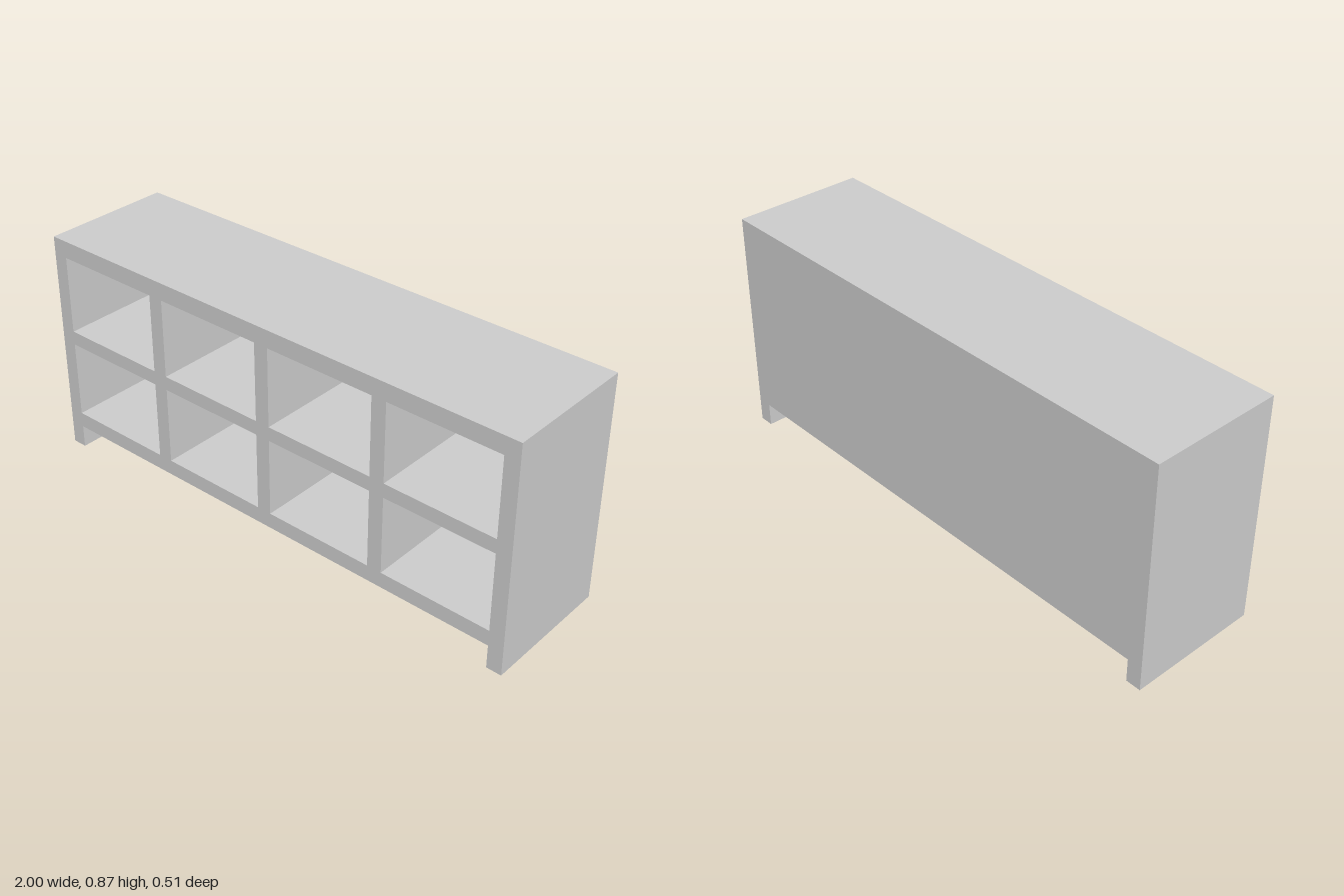
import * as THREE from 'three';

const HEIGHT = 0.87, DEPTH = 0.506, BACK = 0.033;
const BOARD = 0.057;      // thickness of sides and dividers
const BASE = 0.09;        // underside height between the feet
const COLS = 4;
const CELL_W = (2 - BOARD * (COLS + 1)) / COLS;
const CELL_H = 0.3;
const ROWS = [0.15, 0.504]; // floor of each row of cubbies

// Front outline: a box standing on two full-depth side feet
function outline() {
  const foot = 1 - BOARD;
  return new THREE.Shape([
    [-1, 0], [-foot, 0], [-foot, BASE], [foot, BASE],
    [foot, 0], [1, 0], [1, HEIGHT], [-1, HEIGHT],
  ].map(([x, y]) => new THREE.Vector2(x, y)));
}

function rectangle(x, y, w, h) {
  return new THREE.Path([
    new THREE.Vector2(x, y), new THREE.Vector2(x, y + h),
    new THREE.Vector2(x + w, y + h), new THREE.Vector2(x + w, y),
  ]);
}

export function createModel() {
  const group = new THREE.Group();
  group.name = 'cubbyBench';
  const material = new THREE.MeshStandardMaterial({ color: 0xcccccc });

  function addSlab(name, shape, depth, z) {
    const geometry = new THREE.ExtrudeGeometry(shape, { depth, bevelEnabled: false });
    const mesh = new THREE.Mesh(geometry, material);
    mesh.name = name;
    mesh.position.z = z;
    group.add(mesh);
  }

  // Carcass with two rows of open cubbies
  const frame = outline();
  for (const y of ROWS) {
    for (let i = 0; i < COLS; i++) {
      frame.holes.push(rectangle(-1 + BOARD + i * (CELL_W + BOARD), y, CELL_W, CELL_H));
    }
  }
  addSlab('carcass', frame, DEPTH - BACK, -DEPTH / 2 + BACK);

  // Solid back closing the cubbies
  addSlab('backPanel', outline(), BACK, -DEPTH / 2);

  return group;
}
